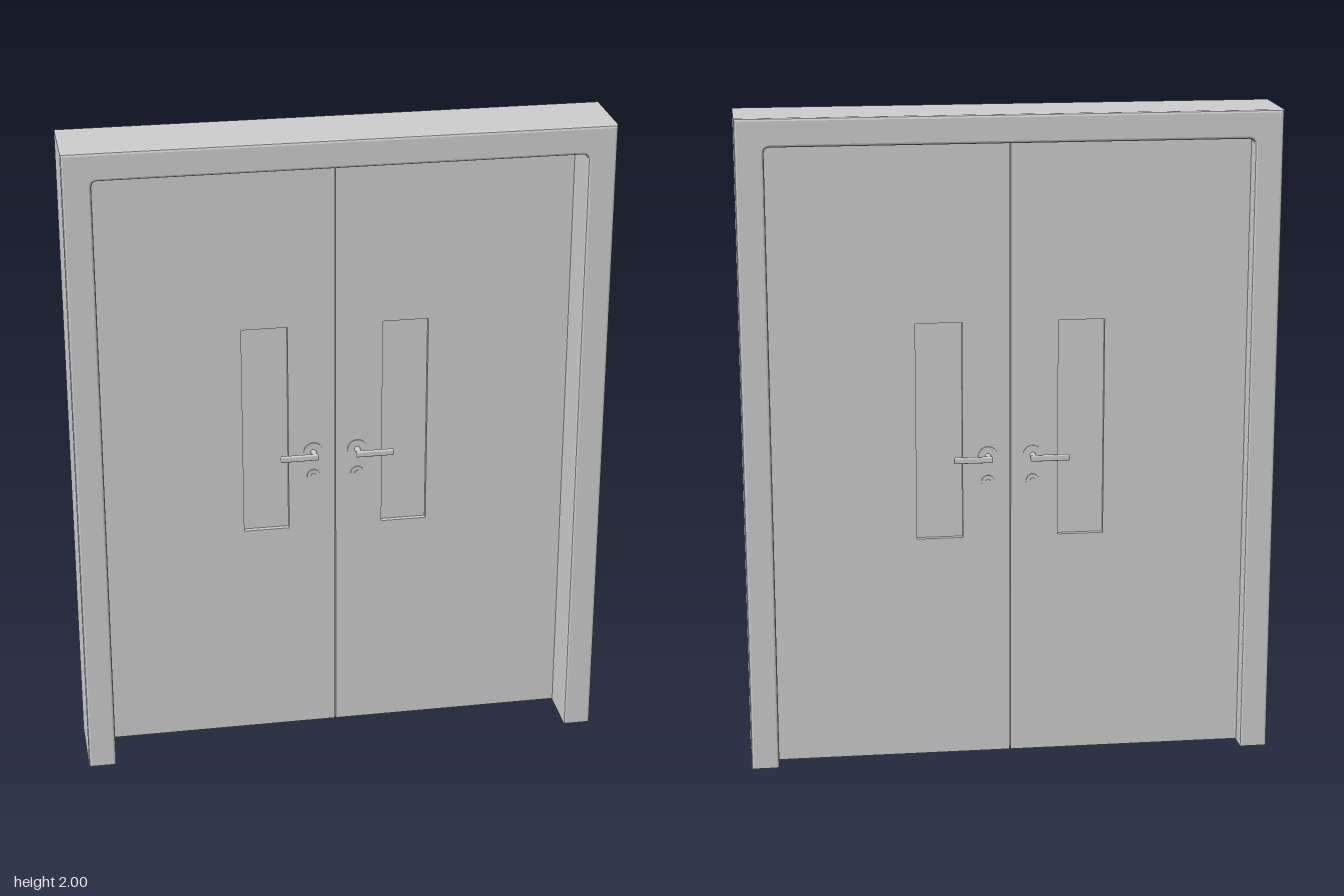
import * as THREE from 'three';
import { RoundedBoxGeometry } from 'three/addons/geometries/RoundedBoxGeometry.js';

const material = new THREE.MeshStandardMaterial({ color: 0xcccccc });
const DOOR_Z = -0.05;    // middle of the leaves, set towards the back
const DOOR_T = 0.04;     // leaf thickness

function add(parent, name, geometry, x = 0, y = 0, z = 0) {
  const mesh = new THREE.Mesh(geometry, material);
  mesh.name = name;
  mesh.position.set(x, y, z);
  parent.add(mesh);
  return mesh;
}

function rectangle(path, x0, y0, x1, y1) {
  path.moveTo(x0, y0);
  path.lineTo(x1, y0);
  path.lineTo(x1, y1);
  path.lineTo(x0, y1);
  path.closePath();
  return path;
}

// Jambs and head in one bevelled outline, cut flat at the floor
function frameGeometry() {
  const W = 0.805, w = 0.72, top = 1.915, r = 0.018, low = -0.03, bevel = 0.008;
  const s = new THREE.Shape();
  s.moveTo(-W, low);
  s.lineTo(-w, low);
  s.lineTo(-w, top - r);
  s.quadraticCurveTo(-w, top, -w + r, top);
  s.lineTo(w - r, top);
  s.quadraticCurveTo(w, top, w, top - r);
  s.lineTo(w, low);
  s.lineTo(W, low);
  s.lineTo(W, 2);
  s.lineTo(-W, 2);
  s.closePath();
  const g = new THREE.ExtrudeGeometry(s, {
    depth: 0.24 - 2 * bevel, bevelThickness: bevel, bevelSize: bevel,
    bevelOffset: -bevel, bevelSegments: 2, curveSegments: 4,
  });
  g.translate(0, 0, -0.12 + bevel);
  const p = g.attributes.position;
  for (let i = 0; i < p.count; i++) p.setY(i, Math.max(0, p.getY(i)));
  g.computeVertexNormals();
  return g;
}

// Leaf with a tall window opening, placed on the side given by sign
function leafGeometry(sign) {
  const span = (a, b) => (sign > 0 ? [a, b] : [-b, -a]);
  const [x0, x1] = span(0.0015, 0.719);
  const [h0, h1] = span(0.145, 0.285);
  const s = rectangle(new THREE.Shape(), x0, 0.006, x1, 1.913);
  s.holes.push(rectangle(new THREE.Path(), h0, 0.705, h1, 1.375));
  const g = new THREE.ExtrudeGeometry(s, { depth: DOOR_T, bevelEnabled: false });
  return g.translate(0, 0, -DOOR_T / 2);
}

// Round part whose axis points out of the door
function disc(radius, length) {
  return new THREE.CylinderGeometry(radius, radius, length, 24).rotateX(Math.PI / 2);
}

// Lever set for one face of a leaf; side is +1 front or -1 back
function addHandle(leaf, sign, side) {
  const handle = new THREE.Group();
  handle.name = side > 0 ? 'frontHandle' : 'backHandle';
  handle.position.z = side * DOOR_T / 2;
  leaf.add(handle);
  const x = sign * 0.068;
  add(handle, 'handleRosette', disc(0.03, 0.004), x, 0.96, side * 0.002);
  add(handle, 'lockRosette', disc(0.02, 0.004), x, 0.88, side * 0.002);
  add(handle, 'lockCylinder', disc(0.008, 0.006), x, 0.88, side * 0.003);
  add(handle, 'handleStem', disc(0.009, 0.04), x, 0.96, side * 0.02);
  add(handle, 'handleLever', new RoundedBoxGeometry(0.118, 0.019, 0.012, 2, 0.004),
    sign * 0.116, 0.96, side * 0.042);
}

export function createModel() {
  const model = new THREE.Group();
  model.name = 'doubleDoor';
  add(model, 'doorFrame', frameGeometry());

  for (const sign of [-1, 1]) {
    const leaf = new THREE.Group();
    leaf.name = sign > 0 ? 'leftLeaf' : 'rightLeaf';
    leaf.position.z = DOOR_Z;
    model.add(leaf);
    add(leaf, 'leafPanel', leafGeometry(sign));
    add(leaf, 'windowPane', new THREE.BoxGeometry(0.14, 0.67, 0.01), sign * 0.215, 1.04, 0);
    for (const side of [1, -1]) addHandle(leaf, sign, side);
  }
  return model;
}
